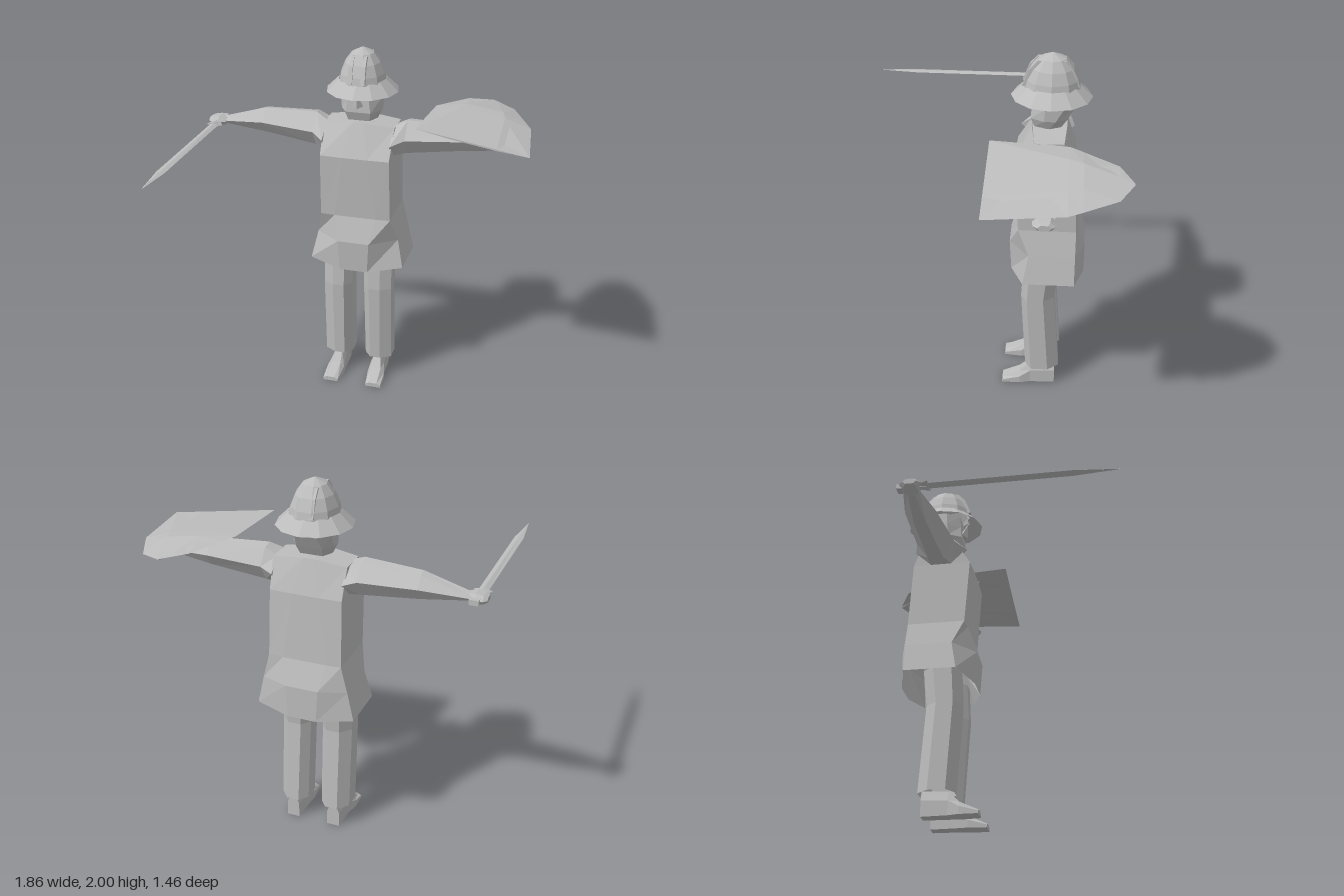
import * as THREE from 'three';

const CX = -0.03; // the body's own centre line
const CZ = -0.31;

const grey = new THREE.MeshStandardMaterial({ color: 0xbcbcbc, side: THREE.DoubleSide });
grey.name = 'plain grey';

// Faceted geometry from [x, y, z] cross-sections, turned so it faces outward.
function loft(rings, capStart = true, capEnd = true) {
  const n = rings[0].length;
  const tris = [];
  for (let r = 0; r < rings.length - 1; r++) {
    for (let i = 0; i < n; i++) {
      const j = (i + 1) % n;
      const a = rings[r][i], b = rings[r][j], c = rings[r + 1][j], d = rings[r + 1][i];
      tris.push([a, b, c], [a, c, d]);
    }
  }
  const first = rings[0], last = rings[rings.length - 1];
  const caps = [];
  for (let i = 1; i < n - 1; i++) {
    caps.push([first[0], first[i + 1], first[i]]);
    caps.push([last[0], last[i], last[i + 1]]);
  }
  let volume = 0;
  for (const [a, b, c] of [...tris, ...caps]) {
    volume += new THREE.Vector3(...a).dot(new THREE.Vector3(...b).cross(new THREE.Vector3(...c)));
  }
  caps.forEach((t, i) => { if (i % 2 ? capEnd : capStart) tris.push(t); });
  const flat = tris.flatMap(([a, b, c]) => (volume < 0 ? [a, c, b] : [a, b, c])).flat();
  const geo = new THREE.BufferGeometry();
  geo.setAttribute('position', new THREE.Float32BufferAttribute(flat, 3));
  geo.computeVertexNormals();
  return geo;
}

function facet(geo) {
  const g = geo.index ? geo.toNonIndexed() : geo;
  g.computeVertexNormals();
  return g;
}

function add(parent, name, geo) {
  const mesh = new THREE.Mesh(geo, grey);
  mesh.name = name;
  parent.add(mesh);
  return mesh;
}

// Coat: eight-point rings with a raised panel at front and back
function coat(group) {
  // y, corner half width, panel half width, front z, front corner z, back corner z, back z, panel drop
  const levels = [
    [0.76, 0.27, 0.08, -0.12, -0.19, -0.47, -0.52, 0.02],
    [0.92, 0.235, 0.09, -0.11, -0.22, -0.47, -0.52, 0],
    [1.06, 0.2, 0.12, -0.155, -0.16, -0.47, -0.475, 0],
    [1.42, 0.195, 0.07, -0.13, -0.135, -0.45, -0.455, 0],
    [1.58, 0.2, 0.03, -0.215, -0.235, -0.39, -0.4, -0.02],
  ];
  const rings = levels.map(([y, w, p, zf, zfc, zbc, zb, drop]) => [
    [CX - p, y - drop, zf], [CX + p, y - drop, zf],
    [CX + w, y, zfc], [CX + w, y, zbc],
    [CX + p, y - drop, zb], [CX - p, y - drop, zb],
    [CX - w, y, zbc], [CX - w, y, zfc],
  ]);
  add(group, 'coat', loft(rings, false, true));
}

// Arm: six-point sections running out from the shoulder
function arm(group, side, name) {
  // distance, bottom y, top y, back z, front z
  const sections = [
    [0.19, 1.42, 1.58, -0.44, -0.15],
    [0.26, 1.43, 1.612, -0.42, -0.21],
    [0.57, 1.465, 1.6, -0.415, -0.25],
    [0.82, 1.49, 1.527, -0.365, -0.285],
  ];
  const rings = sections.map(([d, y0, y1, z0, z1]) => {
    const x = CX + side * d, m = (y0 + y1) / 2, z = (z0 + z1) / 2, q = (z1 - z0) * 0.2;
    return [[x, y0, z + q], [x, m, z1], [x, y1, z + q * 0.4], [x, y1 - 0.01, z - q], [x, m, z0], [x, y0, z - q]];
  });
  add(group, name + 'Sleeve', loft(rings));

  // Closed fist
  const fist = [[0.8, 0.018, 0.035], [0.84, 0.028, 0.06], [0.88, 0.022, 0.055], [0.9, 0.014, 0.035]];
  add(group, name + 'Hand', loft(fist.map(([d, h, w]) => {
    const x = CX + side * d, y = 1.505, z = -0.315;
    return [[x, y - h, z - w * 0.6], [x, y, z - w], [x, y + h, z - w * 0.5],
      [x, y + h, z + w * 0.5], [x, y, z + w], [x, y - h, z + w * 0.6]];
  })));
}

// Trouser leg and shoe
function leg(group, side, name) {
  const levels = [
    // y, inner, outer, front z, back z
    [0.125, 0.04, 0.2, -0.21, -0.4],
    [0.6, 0.035, 0.2, -0.18, -0.365],
    [0.8, 0.03, 0.2, -0.19, -0.385],
  ];
  const rings = levels.map(([y, a, b, zf, zb]) => [
    [a, zf - 0.05], [a + 0.04, zf], [b - 0.06, zf], [b, zf - 0.035],
    [b, zb + 0.06], [b - 0.05, zb], [a + 0.04, zb], [a, zb + 0.05],
  ].map(([d, z]) => [CX + side * d, y, z]));
  add(group, name + 'Trouser', loft(rings, false, true));

  const shoe = [
    // z, height, inner, outer
    [-0.38, 0.14, 0.085, 0.155],
    [-0.24, 0.13, 0.08, 0.16],
    [-0.18, 0.07, 0.075, 0.175],
    [-0.08, 0.025, 0.085, 0.175],
  ];
  add(group, name + 'Shoe', loft(shoe.map(([z, h, a, b]) => [
    [a, 0], [b, 0], [b, h * 0.6], [b - 0.022, h], [a + 0.022, h], [a, h * 0.6],
  ].map(([d, y]) => [CX + side * d, y, z]))));
}

function head(group) {
  const levels = [
    // y, front half width, side half width, front z, back z
    [1.61, 0.06, 0.09, -0.23, -0.37],
    [1.66, 0.07, 0.11, -0.21, -0.4],
    [1.73, 0.06, 0.113, -0.215, -0.44],
    [1.8, 0.06, 0.11, -0.22, -0.44],
  ];
  const rings = levels.map(([y, f, w, zf, zb]) => [
    [CX - f, y, zf], [CX + f, y, zf], [CX + w, y, zf - 0.07], [CX + w, y, zb + 0.06],
    [CX + f, y, zb], [CX - f, y, zb], [CX - w, y, zb + 0.06], [CX - w, y, zf - 0.07],
  ]);
  add(group, 'head', loft(rings));

  const nose = add(group, 'nose', facet(new THREE.ConeGeometry(0.03, 0.08, 4)));
  nose.position.set(CX, 1.735, -0.2);
  nose.rotation.x = 0.35;
}

// Brimmed helmet with an oval crown
function hat(group) {
  const profile = (pts) => pts.map(([r, y]) => new THREE.Vector2(r, y));
  const brim = add(group, 'hatBrim', facet(new THREE.LatheGeometry(profile([[0.2, 1.762], [0.13, 1.83]]), 12)));
  brim.scale.z = 1.06;
  const crown = add(group, 'hatCrown', facet(new THREE.LatheGeometry(
    profile([[0.13, 1.82], [0.122, 1.86], [0.098, 1.92], [0.062, 1.97], [0, 2]]), 10, Math.PI / 10)));
  crown.scale.z = 1.17;
  for (const part of [brim, crown]) part.position.set(CX, 0, CZ - 0.005);

  // Raised ribs down the front and back of the crown
  for (const s of [-1, 1]) {
    for (const z of [-1, 1]) {
      const x = CX + s * 0.035;
      const at = (y, d, w) => [[x - w, y, CZ + z * (d - 0.03)], [x + w, y, CZ + z * (d - 0.03)],
        [x + w, y, CZ + z * d], [x - w, y, CZ + z * d]];
      add(group, 'hatRib', loft([at(1.83, 0.148, 0.014), at(1.92, 0.113, 0.011), at(1.965, 0.072, 0.008)]));
    }
  }
}

// Sword lying level in the right hand, pointing forward
function sword(group) {
  const x = -0.878, y = 1.502;
  const diamond = (z, w, h) => [[x - w, y, z], [x, y + h, z], [x + w, y, z], [x, y - h, z]];
  add(group, 'swordBlade', loft([
    diamond(-0.25, 0.025, 0.01), diamond(0.5, 0.025, 0.006), diamond(0.73, 0.001, 0.001)]));
  add(group, 'swordGuard', loft([diamond(-0.225, 0.048, 0.014), diamond(-0.28, 0.02, 0.014)]));
  add(group, 'swordGrip', facet(new THREE.BoxGeometry(0.025, 0.02, 0.14))).position.set(x, y, -0.3);
  add(group, 'swordPommel', facet(new THREE.BoxGeometry(0.05, 0.028, 0.05))).position.set(x + 0.005, y, -0.363);
}

// Curved, tapering shield held above the left forearm
function shield(group) {
  // z, left edge, ridge left, ridge right, right edge, bulge
  const rows = [
    [-0.02, 0.33, 0.5, 0.76, 0.93, 0],
    [-0.42, 0.36, 0.5, 0.74, 0.885, 0.028],
    [-0.49, 0.4, 0.53, 0.72, 0.85, 0.03],
    [-0.66, 0.5, 0.59, 0.67, 0.76, 0.008],
    [-0.73, 0.625, 0.63, 0.635, 0.64, 0],
  ];
  const slope = (x) => 1.672 - (x - 0.33) * 0.165;
  const rings = rows.map(([z, a, b, c, d, h]) => [
    [a, slope(a), z], [b, slope(b) + h, z], [c, slope(c) + h, z], [d, slope(d), z],
    [c, slope(c) + h - 0.008, z], [b, slope(b) + h - 0.008, z],
  ]);
  add(group, 'shield', loft(rings));
}

export function createModel() {
  const group = new THREE.Group();
  group.name = 'swordsman';
  coat(group);
  for (const [side, name] of [[-1, 'right'], [1, 'left']]) {
    arm(group, side, name);
    leg(group, side, name);
  }
  head(group);
  hat(group);
  sword(group);
  shield(group);
  return group;
}
